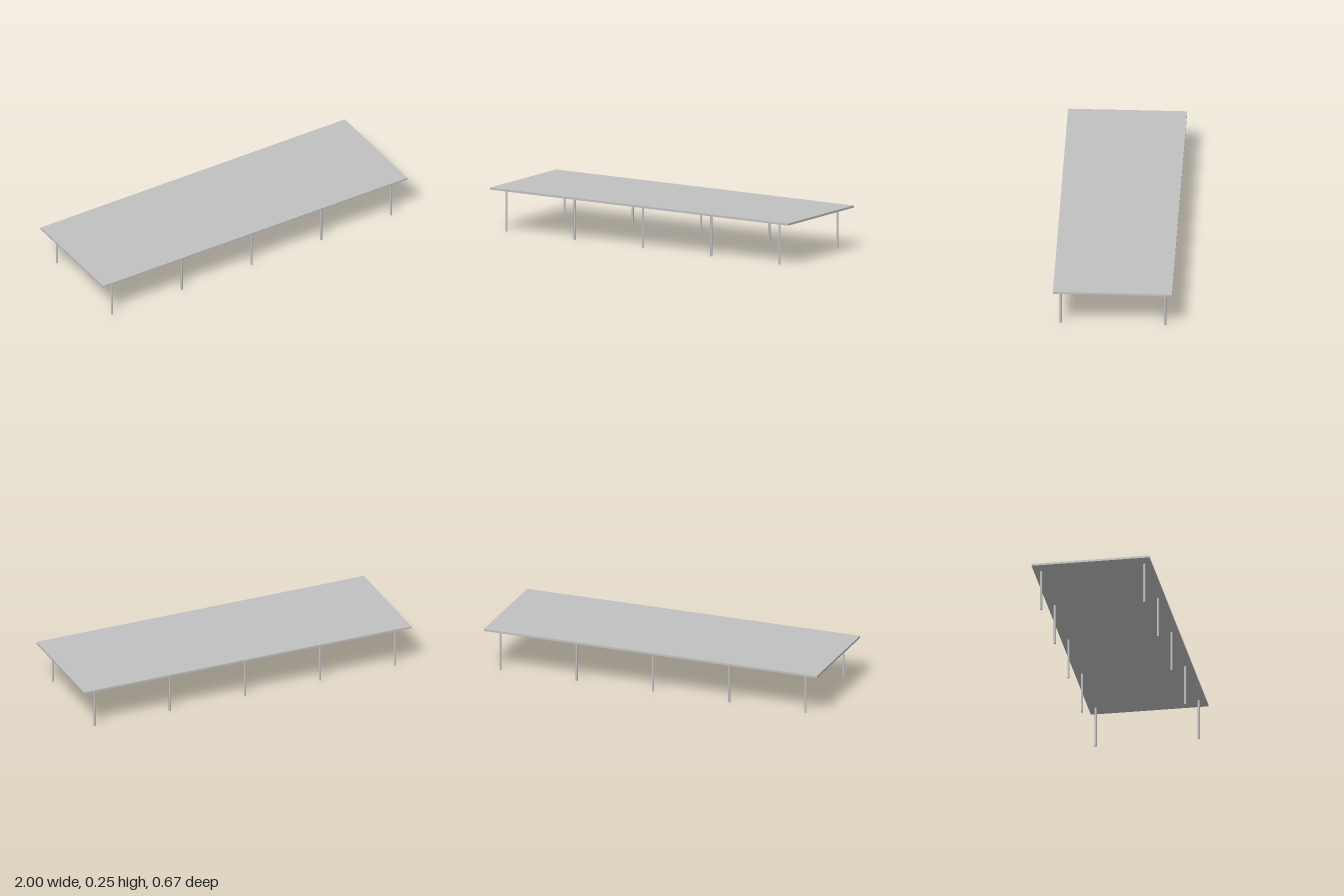
import * as THREE from 'three';

export function createModel() {
  const model = new THREE.Group();
  model.name = 'platform';
  const grey = new THREE.MeshStandardMaterial({ name: 'light grey', color: 0xc0c0c0 });

  const height = 0.247, thickness = 0.012, legHeight = height - thickness;

  // Flat deck
  const deck = new THREE.Mesh(new THREE.BoxGeometry(2, thickness, 0.667), grey);
  deck.name = 'deck';
  deck.position.y = height - thickness / 2;
  model.add(deck);

  // Two rows of five slim round legs
  const legGeometry = new THREE.CylinderGeometry(0.00625, 0.00625, legHeight, 20);
  const legs = new THREE.Group();
  legs.name = 'legs';
  for (const z of [-0.2925, 0.2925]) {
    for (let i = -2; i <= 2; i++) {
      const leg = new THREE.Mesh(legGeometry, grey);
      leg.name = z > 0 ? 'frontLeg' : 'backLeg';
      leg.position.set(i * 0.4583, legHeight / 2, z);
      legs.add(leg);
    }
  }
  model.add(legs);
  return model;
}
